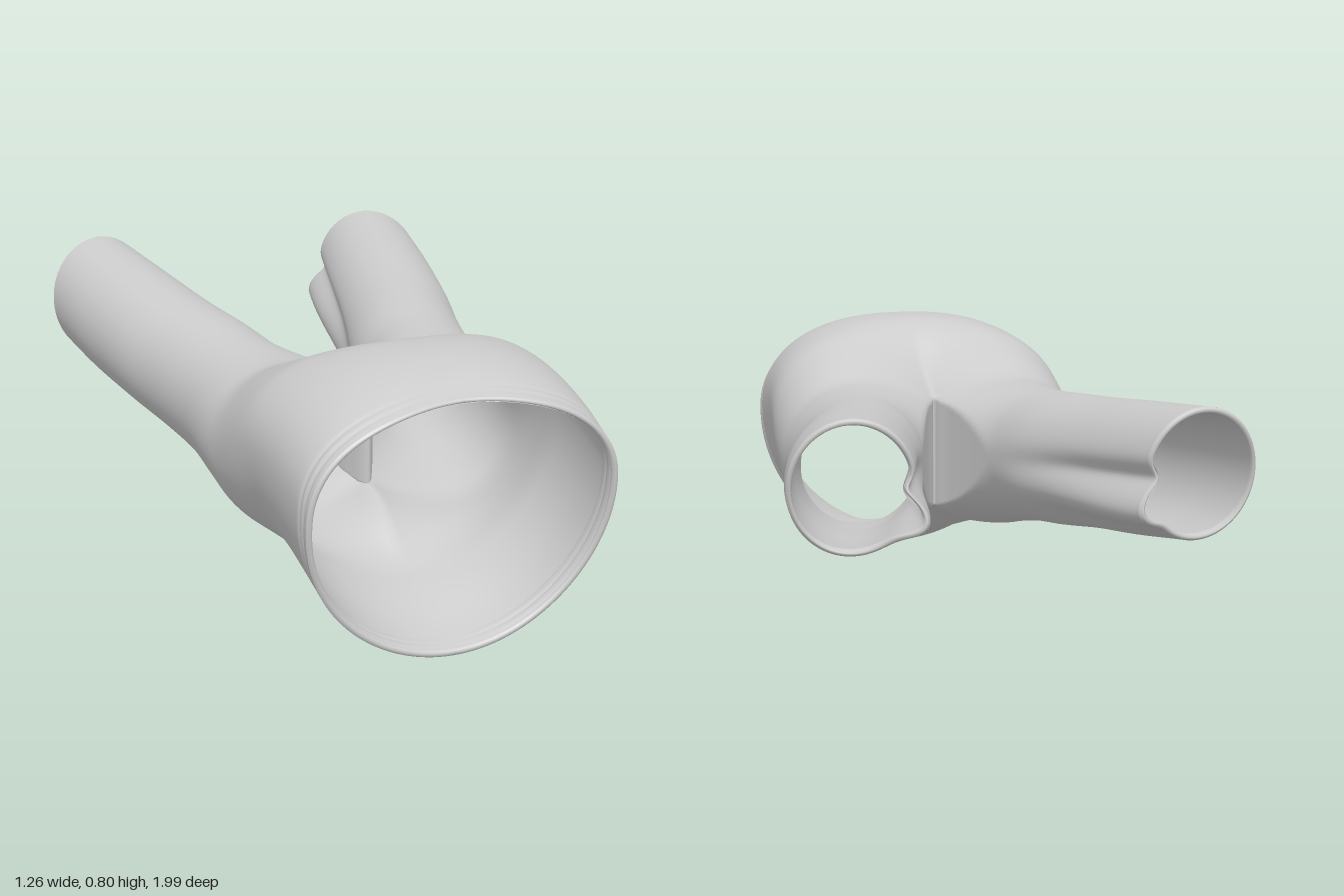
import * as THREE from 'three';
import { mergeGeometries, mergeVertices } from 'three/addons/utils/BufferGeometryUtils.js';

const { smoothstep, lerp, clamp } = THREE.MathUtils;
const WAIST = 0.98, CROTCH = 0.28, CUFF = -0.9, THICKNESS = 0.016;
const K = 1.45, JOIN = Math.acos(-1 / K); // angle where the leg sides meet the centre plane

// z, half width, top, bottom of the hips
const BODY = [
  [0.98, 0.44, 0.742, 0.0], [0.85, 0.445, 0.783, 0.03], [0.7, 0.452, 0.8, 0.072],
  [0.55, 0.462, 0.783, 0.11], [0.42, 0.47, 0.718, 0.152], [0.28, 0.47, 0.65, 0.18],
  [0.2, 0.47, 0.638, 0.2],
];
// z, inner x, outer x, top, bottom of a leg
const LEG = [
  [0.42, 0, 0.47, 0.718, 0.152], [0.28, 0, 0.47, 0.65, 0.18], [0.2, 0.032, 0.47, 0.638, 0.2],
  [0, 0.09, 0.475, 0.64, 0.24], [-0.2, 0.13, 0.508, 0.655, 0.265], [-0.4, 0.18, 0.556, 0.67, 0.293],
  [-0.65, 0.237, 0.6, 0.695, 0.32], [-0.9, 0.298, 0.63, 0.72, 0.352],
];

// Smooth interpolation of a table of sections (z descending)
function sample(keys, z) {
  const n = keys.length;
  let i = 0;
  while (i < n - 2 && z < keys[i + 1][0]) i++;
  const slope = (k, c) => {
    const p = keys[Math.max(k - 1, 0)], q = keys[Math.min(k + 1, n - 1)];
    return (q[c] - p[c]) / (q[0] - p[0]);
  };
  const a = keys[i], b = keys[i + 1], h = b[0] - a[0];
  const t = clamp((z - a[0]) / h, 0, 1), t2 = t * t, t3 = t2 * t;
  return a.map((v, c) => (2 * t3 - 3 * t2 + 1) * v + (t3 - 2 * t2 + t) * h * slope(i, c)
    + (3 * t2 - 2 * t3) * b[c] + (t3 - t2) * h * slope(i + 1, c));
}

const bell = (x, w) => Math.exp(-((x / w) ** 2));

// Leg surface: rounded tube, flattened against the other leg at the crotch
function legPoint(z, a) {
  const [, xin, xout, top, bot] = sample(LEG, z);
  const cx = (xin + xout) / 2, r = (xout - xin) / 2, cy = (top + bot) / 2, h = (top - bot) / 2;
  const c = Math.cos(a), s = Math.sin(a);
  const k = c < 0 ? lerp(1, K, smoothstep(z, -0.05, CROTCH)) : 1;
  // raised inseam with a groove above it, running out into a tab at the cuff
  const deg = ((a * 180 / Math.PI) + 360) % 360;
  const bump = (1 - smoothstep(z, -0.85, 0.05)) * (0.04 * bell(deg - 205, 15) - 0.028 * bell(deg - 180, 11));
  const x = Math.max(xin, cx + r * k * c) + c * bump;
  const y = cy + (h + bump) * s;
  // slanted cuff
  const end = 1 - smoothstep(z, CUFF, -0.5);
  const slant = 0.033 * c - 0.03 * s - 0.055 * bell(deg - 208, 21);
  return new THREE.Vector3(x, y, z + end * slant);
}

// Hip surface: half of an egg-shaped section that blends into the leg
function bodyPoint(z, a) {
  const [, w, top, bot] = sample(BODY, z);
  const b = (a / JOIN) * Math.PI / 2, c = Math.max(0, Math.cos(b)), s = Math.sin(b);
  const cy = bot + (top - bot) * 0.61;
  const x = w * (s > 0 ? c ** 0.87 : c);
  const y = s > 0 ? cy + (top - cy) * s ** 0.87 : cy + (cy - bot) * s;
  const p = new THREE.Vector3(x, y, z);
  // rim slants back towards the bottom and dips at the top centre
  const rim = smoothstep(z, 0.6, WAIST);
  p.z += rim * (-0.05 + 0.067 * smoothstep(y, 0, 0.6) - 0.035 * bell(x, 0.17) * smoothstep(y, 0.4, 0.7));
  // stitched grooves of the waistband, fading out at the front and back centre
  const groove = 1 - 0.012 * c * (bell(z - 0.955, 0.006) + bell(z - 0.93, 0.006));
  p.x *= groove;
  p.y = cy + (p.y - cy) * groove;
  // the leg section, fitted to the local height
  const leg = legPoint(CROTCH, a);
  const [, , , legTop, legBot] = sample(LEG, CROTCH);
  leg.y = bot + (leg.y - legBot) / (legTop - legBot) * (top - bot);
  p.lerp(leg.setZ(p.z), 1 - smoothstep(z, CROTCH, 0.62));
  if (c < 1e-6) p.x = 0;
  return p;
}

const surface = (z, a) => (z > CROTCH ? bodyPoint(z, a) : legPoint(z, a));

// Grid of quads through fn(u, v); side = -1 mirrors it
function grid(fn, us, vs, side) {
  const pos = [], index = [], m = vs.length;
  us.forEach((u) => vs.forEach((v) => {
    const p = fn(u, v);
    pos.push(side * p.x, p.y, p.z);
  }));
  for (let i = 0; i < us.length - 1; i++) {
    for (let j = 0; j < m - 1; j++) {
      const a = i * m + j, b = a + m, c = b + 1, d = a + 1;
      if (side > 0) index.push(a, b, d, b, c, d);
      else index.push(a, d, b, b, d, c);
    }
  }
  const g = new THREE.BufferGeometry();
  g.setAttribute('position', new THREE.Float32BufferAttribute(pos, 3));
  g.setIndex(index);
  return g;
}

// Joins grids that share edges into one smooth surface
function weld(parts) {
  const g = mergeVertices(mergeGeometries(parts), 1e-5);
  g.computeVertexNormals();
  return g;
}

function range(from, to, n) {
  return Array.from({ length: n + 1 }, (_, i) => from + (to - from) * i / n);
}

export function createModel() {
  const model = new THREE.Group();
  model.name = 'trousers';
  const material = new THREE.MeshStandardMaterial({ color: 0xcccccc, side: THREE.DoubleSide });

  const add = (name, geometry) => {
    const mesh = new THREE.Mesh(geometry, material);
    mesh.name = name;
    model.add(mesh);
  };

  const hipRows = [...range(WAIST, 0.9, 20), ...range(0.9, CROTCH, 36).slice(1)];
  const legRows = range(CROTCH, CUFF, 60);
  const outer = range(-JOIN, JOIN, 72);
  const inner = range(JOIN, 2 * Math.PI - JOIN, 40);
  const sides = [1, -1];

  // Hips and both legs as one continuous cloth
  const cloth = weld(sides.flatMap((s) => [
    grid(surface, [...hipRows, ...legRows.slice(1)], outer, s),
    grid(legPoint, legRows, inner, s),
  ]));
  add('cloth', cloth);

  // Inner face of the cloth
  const lining = cloth.clone();
  const pos = lining.attributes.position, normal = lining.attributes.normal;
  const p = new THREE.Vector3(), n = new THREE.Vector3();
  for (let i = 0; i < pos.count; i++) {
    p.fromBufferAttribute(pos, i).addScaledVector(n.fromBufferAttribute(normal, i), -THICKNESS);
    pos.setXYZ(i, p.x, p.y, p.z);
  }
  lining.computeVertexNormals();
  add('lining', lining);

  // Hems: rounded edges closing the cloth; rows are [inset, shift along z]
  const fold = [[0, 0], [0.012, 0.006], [0.03, 0.008], [0.045, 0.004], [0.052, -0.004]];
  const hemPoint = (q, centre, inset, dz) => {
    const z = q.z;
    return q.lerp(centre, inset).setZ(z + dz);
  };

  const waistCentre = new THREE.Vector3(0, 0.44, 0);
  add('waistHem', weld(sides.map((s) => grid(
    ([inset, dz], a) => hemPoint(bodyPoint(WAIST, a), waistCentre, inset * 0.8, dz * 0.7), fold, outer, -s))));

  const cuffCentre = new THREE.Vector3(0.464, 0.537, 0);
  const round = range(-Math.PI, Math.PI, 112);
  sides.forEach((s) => add(s > 0 ? 'leftCuffHem' : 'rightCuffHem', weld([grid(
    ([inset, dz], a) => hemPoint(legPoint(CUFF, a), cuffCentre, inset * 1.9, -1.6 * dz), fold, round, s)])));

  return model;
}
